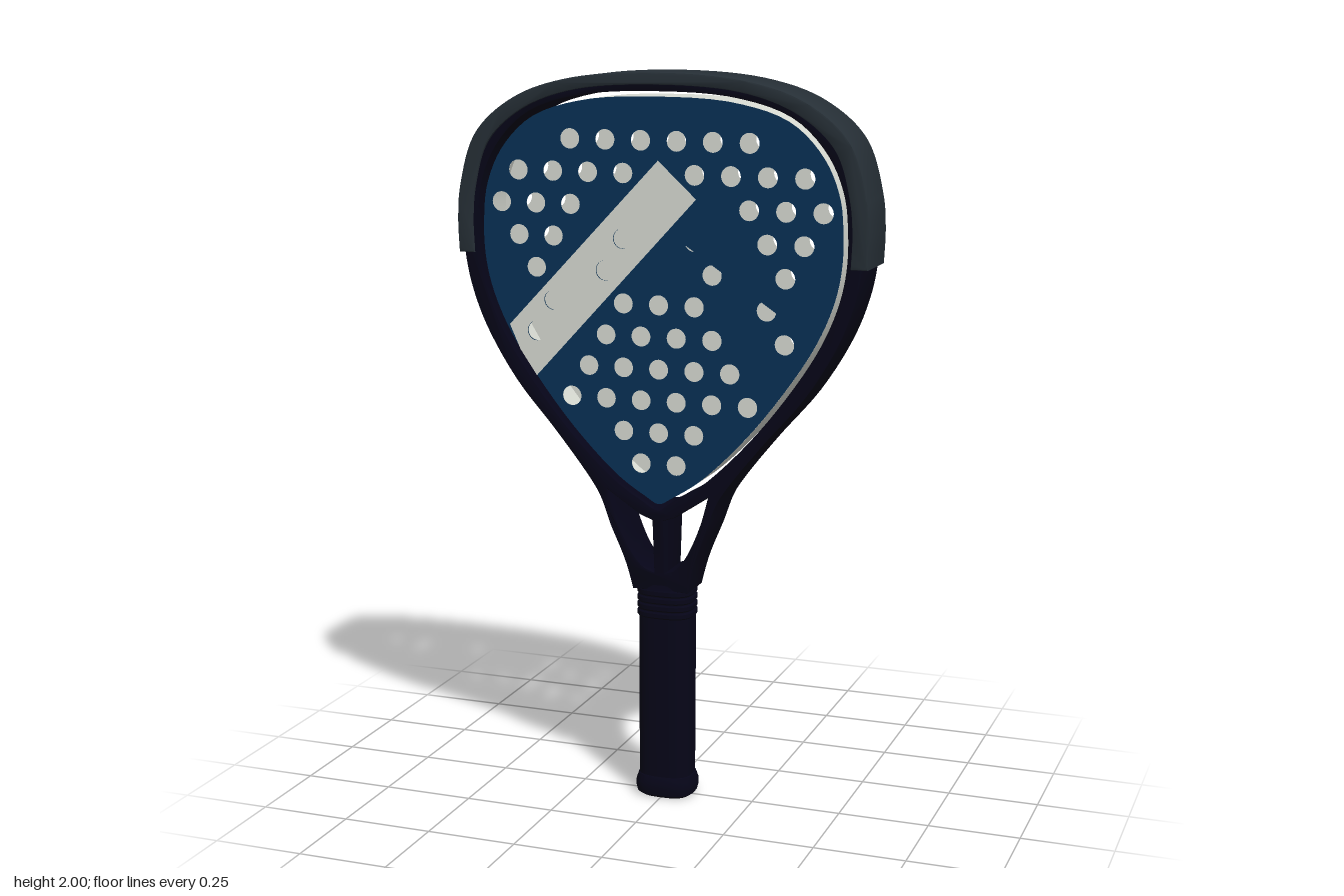
import * as THREE from 'three';
import { toCreasedNormals, mergeVertices } from 'three/addons/utils/BufferGeometryUtils.js';

const mat = (name, color, side = THREE.FrontSide) => {
  const m = new THREE.MeshStandardMaterial({ color, side });
  m.name = name;
  return m;
};

// Smooth curve through points
function smooth(points, closed, n) {
  const c = new THREE.CatmullRomCurve3(points.map(([x, y]) => new THREE.Vector3(x, y, 0)), closed, 'centripetal');
  const out = c.getPoints(n).map((p) => new THREE.Vector2(p.x, p.y));
  if (closed) out.pop();
  return out;
}

// Left-right mirrored outline from a half that starts on the centre line at the top
function mirrored(half, closed, n = 120) {
  const other = half.slice(1, closed ? -1 : undefined).map(([x, y]) => [-x, y]);
  return smooth(closed ? [...half, ...other.reverse()] : [...other.reverse(), ...half], closed, n);
}

function extruded(shape, halfDepth, bevel) {
  const geo = new THREE.ExtrudeGeometry(shape, {
    depth: 2 * (halfDepth - bevel), bevelEnabled: true, bevelSize: bevel, bevelThickness: bevel,
    bevelOffset: -bevel, bevelSegments: 2, curveSegments: 12,
  });
  return geo.translate(0, 0, -(halfDepth - bevel));
}

export function createModel() {
  const navy = mat('darkNavy', 0x060518);
  const blue = mat('faceBlue', 0x083156);
  const pale = mat('paleGrey', 0xd8dbd3, THREE.DoubleSide);
  const slate = mat('slateBumper', 0x262f36);
  const model = new THREE.Group();
  model.name = 'padelRacket';
  const add = (name, geo, material) => {
    const mesh = new THREE.Mesh(geo, material);
    mesh.name = name;
    model.add(mesh);
  };

  // Frame: anticlockwise outer outline, head opening and two throat openings
  const frameShape = new THREE.Shape(mirrored([[0, 1.988], [0.25, 1.968], [0.4, 1.914], [0.507, 1.822],
    [0.553, 1.69], [0.562, 1.6], [0.558, 1.51], [0.54, 1.42], [0.498, 1.31], [0.41, 1.165], [0.295, 1.03],
    [0.2, 0.91], [0.168, 0.86], [0.138, 0.78], [0.1, 0.68], [0.08, 0.6]], false, 140).reverse());
  const opening = [[0, 1.951], [0.22, 1.937], [0.37, 1.888], [0.46, 1.8], [0.505, 1.7], [0.517, 1.6], [0.515, 1.51],
    [0.497, 1.42], [0.452, 1.31], [0.37, 1.18], [0.25, 1.03], [0.12, 0.905], [0.04, 0.853], [0, 0.833]];
  frameShape.holes.push(new THREE.Path(mirrored(opening, true)));
  for (const s of [-1, 1]) {
    const arm = smooth([[0.143, 0.877], [0.118, 0.79], [0.075, 0.7], [0.045, 0.665], [0.016, 0.653]], false, 16);
    const pts = [...arm, new THREE.Vector2(0.016, 0.803), new THREE.Vector2(0.05, 0.815)];
    frameShape.holes.push(new THREE.Path(pts.map((p) => new THREE.Vector2(p.x * s, p.y))));
  }
  const frameGeo = extruded(frameShape, 0.08, 0.005);
  // Thin the throat towards the handle
  const fp = frameGeo.attributes.position;
  for (let i = 0; i < fp.count; i++) {
    const t = THREE.MathUtils.clamp((0.78 - fp.getY(i)) / 0.17, 0, 1);
    fp.setZ(i, fp.getZ(i) * (1 - 0.25 * t));
  }
  add('frame', toCreasedNormals(frameGeo, 0.6), navy);

  // Bumper band around the top of the head
  const bumperOuter = mirrored([[0, 2], [0.255, 1.98], [0.41, 1.927], [0.52, 1.832], [0.567, 1.69],
    [0.575, 1.6], [0.572, 1.51]], false, 90);
  const bumperInner = mirrored([[0, 1.968], [0.24, 1.95], [0.385, 1.897], [0.482, 1.81], [0.521, 1.69],
    [0.53, 1.6], [0.527, 1.51]], false, 90);
  add('bumper', toCreasedNormals(extruded(new THREE.Shape([...bumperOuter, ...bumperInner.reverse()]), 0.086, 0.004), 0.6), slate);

  // Drill pattern: x distances from the centre line, row by row from the top
  const rows = [[0.05, 0.15, 0.25], [0.1, 0.2, 0.3, 0.4], [0.25, 0.35, 0.45], [0.1, 0.3, 0.4], [0.15, 0.35],
    [0, 0.1, 0.3], [0.05, 0.15, 0.35], [0, 0.1, 0.2], [0.05, 0.15, 0.25], [0, 0.1], [0.05]];
  const rowY = (i) => 1.823 - i * 0.0866;
  const holes = [];
  rows.forEach((row, i) => row.forEach((x) => {
    for (const s of x ? [-1, 1] : [1]) holes.push([x * s, rowY(i)]);
  }));
  const sheet = (outline, centres, z) => {
    const shape = new THREE.Shape(outline);
    for (const [x, y] of centres) shape.holes.push(new THREE.Path().absarc(x, y, 0.027, 0, Math.PI * 2, true));
    return new THREE.ShapeGeometry(shape, 12).translate(0, 0, z);
  };

  // Hollow face: drilled sheets joined by a rim, with a narrow gap to the frame
  const face = mirrored(opening.map(([x, y]) => {
    const dy = y - 1.45, l = Math.hypot(x, dy);
    return [x - 0.014 * x / l, y - 0.014 * dy / l];
  }), true);
  add('backFace', sheet(face, holes, -0.07), pale);
  add('frontFaceLining', sheet(face, holes, 0.068), pale);
  add('frontFace', sheet(face, holes, 0.07), blue);
  const rim = new THREE.CylinderGeometry(1, 1, 1, face.length, 1, true);
  const rp = rim.attributes.position;
  for (let i = 0; i < rp.count; i++) {
    const p = face[(i % (face.length + 1)) % face.length];
    rp.setXYZ(i, p.x, p.y, rp.getY(i) > 0 ? 0.068 : -0.07);
  }
  rim.computeVertexNormals();
  add('faceRim', rim, pale);

  // Chevron of two drilled stripes on each side of the face
  const stripe = [[0, 1.772], [-0.43, 1.317], [-0.4, 1.25], [-0.352, 1.18], [0.106, 1.674]];
  const stripeHoles = [[-0.1, 3], [-0.15, 4], [-0.3, 5], [-0.35, 6]];
  const addStripe = (name, s, z, material) => add(name, sheet(
    stripe.map(([x, y]) => new THREE.Vector2(x * s, y)),
    stripeHoles.map(([x, i]) => [x * s, rowY(i)]), z), material);
  addStripe('frontStripeRight', 1, 0.074, pale);
  addStripe('frontStripeLeft', -1, 0.072, blue);
  addStripe('backStripeRight', 1, -0.074, pale);
  addStripe('backStripeLeft', -1, -0.072, pale);

  // Turned part squeezed to a rounded-rectangle section
  const gripPart = (name, profile) => {
    const geo = new THREE.LatheGeometry(profile.map(([r, y]) => new THREE.Vector2(r, y)), 40);
    const p = geo.attributes.position;
    const soft = (v, r) => (r < 1e-6 ? 0 : Math.sign(v) * r * Math.pow(Math.abs(v) / r, 0.7));
    for (let i = 0; i < p.count; i++) {
      const x = p.getX(i), z = p.getZ(i), r = Math.hypot(x, z);
      p.setX(i, soft(x, r));
      p.setZ(i, soft(z, r) * 0.83);
    }
    geo.deleteAttribute('uv');
    geo.deleteAttribute('normal');
    add(name, toCreasedNormals(mergeVertices(geo, 1e-5), 0.6), navy);
  };
  gripPart('handle', [[0.075, 0.04], [0.076, 0.3], [0.076, 0.53]]);
  gripPart('buttCap', [[0, 0], [0.07, 0], [0.081, 0.008], [0.085, 0.025], [0.084, 0.04], [0.077, 0.06], [0.07, 0.065]]);
  const collar = [[0.07, 0.518]];
  for (let i = 0; i < 4; i++) {
    const y = 0.52 + i * 0.021;
    collar.push([0.076, y], [0.08, y + 0.004], [0.08, y + 0.015], [0.076, y + 0.019]);
  }
  gripPart('collarRings', [...collar, [0.074, 0.615], [0.068, 0.63], [0, 0.635]]);

  return model;
}
